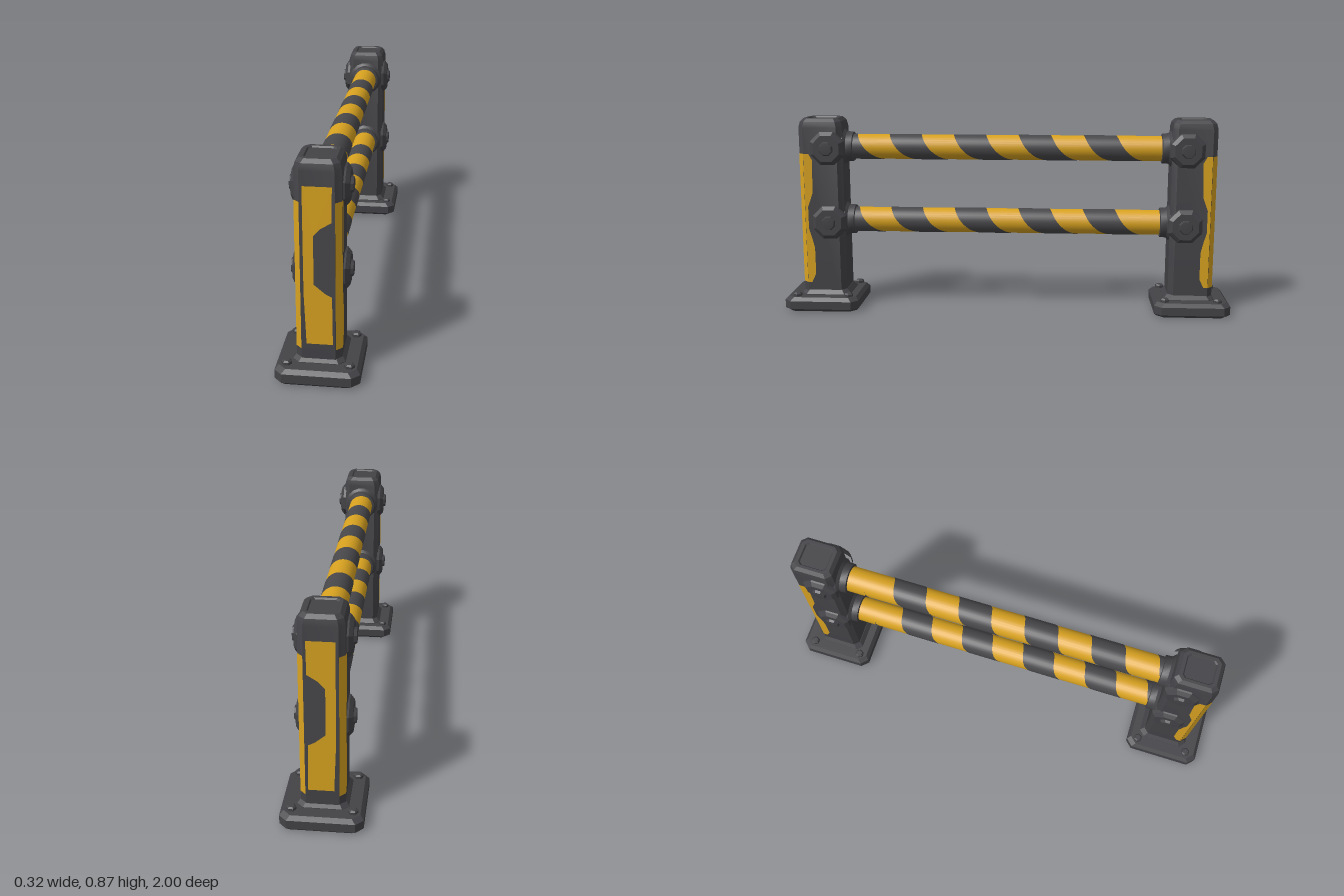
import * as THREE from 'three';
import { toCreasedNormals } from 'three/addons/utils/BufferGeometryUtils.js';

const mat = (name, color) => Object.assign(new THREE.MeshStandardMaterial({ color }), { name });
const steel = mat('dark steel', 0x434347);
const darkPaint = mat('dark paint', 0x48484b);
const yellow = mat('yellow paint', 0xd8a220);

function add(parent, name, geometry, material) {
  const mesh = new THREE.Mesh(geometry, material);
  mesh.name = name;
  parent.add(mesh);
  return mesh;
}

// Stack of chamfered rectangles, each level [y, halfWidth, zBack, zFront, chamfer]
function loft(levels) {
  const pos = [], index = [], n = 8;
  for (const [y, h, b, f, c] of levels) {
    const ring = [[h, f - c], [h - c, f], [c - h, f], [-h, f - c], [-h, b + c], [c - h, b], [h - c, b], [h, b + c]];
    for (const [x, z] of ring) pos.push(x, y, z);
  }
  const last = levels.length - 1;
  for (let j = 0; j < last; j++) {
    for (let i = 0; i < n; i++) {
      const a = j * n + i, b = j * n + (i + 1) % n;
      index.push(a, a + n, b + n, a, b + n, b);
    }
  }
  for (let i = 1; i < n - 1; i++) {
    index.push(0, i, i + 1, last * n, last * n + i + 1, last * n + i);
  }
  const g = new THREE.BufferGeometry();
  g.setAttribute('position', new THREE.Float32BufferAttribute(pos, 3));
  g.setIndex(index);
  return toCreasedNormals(g, 0.5);
}

const plate = (points) => new THREE.ShapeGeometry(new THREE.Shape(points.map(([x, y]) => new THREE.Vector2(x, y))));

// Turned part with a [radius, height] profile along +y
function turned(points, sides) {
  const g = new THREE.LatheGeometry(points.map(([r, y]) => new THREE.Vector2(r, y)), sides, Math.PI / sides);
  return toCreasedNormals(g, 0.5);
}

const RAIL_HEIGHTS = [0.735, 0.4];

function createPost(facing) {
  const post = new THREE.Group();
  post.name = facing > 0 ? 'frontPost' : 'backPost';

  add(post, 'basePlate', loft([
    [0, 0.148, 0.677, 0.988, 0.03], [0.012, 0.161, 0.665, 1, 0.03],
    [0.048, 0.161, 0.665, 1, 0.03], [0.064, 0.147, 0.679, 0.986, 0.03]]), steel);
  add(post, 'postFoot', loft([
    [0.06, 0.1, 0.712, 0.935, 0.025], [0.066, 0.1, 0.712, 0.935, 0.025], [0.085, 0.085, 0.728, 0.92, 0.022]]), steel);
  add(post, 'column', loft([
    [0.06, 0.086, 0.73, 0.925, 0.022], [0.828, 0.086, 0.73, 0.925, 0.022],
    [0.852, 0.08, 0.736, 0.919, 0.022], [0.866, 0.066, 0.75, 0.905, 0.018],
    [0.866, 0.054, 0.765, 0.89, 0.012], [0.86, 0.05, 0.77, 0.885, 0.012]]), steel);

  // Anchor bolts at the corners of the base
  for (const x of [-0.118, 0.118]) {
    for (const z of [0.712, 0.945]) {
      const bolt = add(post, 'anchorBolt', turned([[0.02, 0], [0.02, 0.012], [0.013, 0.018], [0, 0.018]], 6), steel);
      bolt.position.set(x, 0.062, z);
    }
  }

  // Rail sockets with a boss and bolt on each side
  for (const y of RAIL_HEIGHTS) {
    const socket = add(post, 'railSocket',
      turned([[0.08, 0], [0.08, 0.03], [0.068, 0.042], [0.066, 0.07], [0.054, 0.073]], 16), steel);
    socket.rotation.x = -Math.PI / 2;
    socket.position.set(0, y, 0.76);
    for (const side of [-1, 1]) {
      const boss = add(post, 'sideBoss', turned([[0.083, 0], [0.079, 0.012], [0.062, 0.026], [0, 0.026]], 8), steel);
      boss.rotation.z = -side * Math.PI / 2;
      boss.position.set(side * 0.081, y, 0.795);
      const bolt = add(post, 'sideBolt', turned([[0.034, 0], [0.028, 0.014], [0, 0.016]], 8), steel);
      bolt.rotation.z = -side * Math.PI / 2;
      bolt.position.set(side * 0.104, y, 0.795);
    }
  }

  // Painted face panel with a dark notch on one side
  const outline = [[-0.045, 0.142], [0.054, 0.142], [0.052, 0.34], [0.028, 0.352], [-0.015, 0.388],
    [-0.015, 0.58], [0.012, 0.61], [0.052, 0.635], [0.054, 0.77], [-0.053, 0.77], [-0.053, 0.35]];
  add(post, 'facePanel', plate(outline.map(([x, y]) => [x * facing, y])), yellow).position.z = 0.9265;
  const notch = [[0.062, 0.335], [0.052, 0.34], [0.028, 0.352], [-0.015, 0.388], [-0.015, 0.58],
    [0.012, 0.61], [0.052, 0.635], [0.062, 0.64]];
  add(post, 'faceNotch', plate(notch.map(([x, y]) => [x * facing, y])), darkPaint).position.z = 0.9262;

  // Yellow edge paint wrapping each front corner, narrow beside the lower boss
  const edge = [[0.903, 0.12], [0.885, 0.12], [0.866, 0.16], [0.866, 0.28], [0.878, 0.33],
    [0.89, 0.37], [0.89, 0.47], [0.868, 0.53], [0.863, 0.68], [0.88, 0.71], [0.903, 0.71]];
  for (const side of [-1, 1]) {
    const flank = add(post, 'sidePaint', plate(edge.map(([z, y]) => [-side * z, y])), yellow);
    flank.rotation.y = side * Math.PI / 2;
    flank.position.x = side * 0.0873;
    const corner = add(post, 'cornerPaint', new THREE.PlaneGeometry(0.031, 0.59), yellow);
    corner.rotation.y = side * Math.PI / 4;
    corner.position.set(side * 0.076, 0.415, 0.915);
  }

  if (facing < 0) post.rotation.y = Math.PI;
  return post;
}

// Painted band wound around a rail, flatter over the top, cut off square at both ends
function helixBand(radius, centre, back, front) {
  const pitch = 0.29, turns = 7, sway = 0.035;
  const g = new THREE.PlaneGeometry(1, 1, turns * 32, 8);
  const p = g.attributes.position, normal = g.attributes.normal;
  for (let i = 0; i < p.count; i++) {
    const t = (0.5 - p.getX(i)) * turns;
    const a = t * Math.PI * 2;
    const z = centre + (3 - t + p.getY(i) * 0.5) * pitch + sway * Math.sin(a);
    p.setXYZ(i, radius * Math.sin(a), radius * Math.cos(a), THREE.MathUtils.clamp(z, back, front));
    normal.setXYZ(i, Math.sin(a), Math.cos(a), 0);
  }
  // Drop the collapsed faces beyond the ends and keep the rest facing outward
  const kept = [], src = g.index.array;
  const v = [new THREE.Vector3(), new THREE.Vector3(), new THREE.Vector3()];
  const out = new THREE.Vector3(), face = new THREE.Vector3();
  for (let i = 0; i < src.length; i += 3) {
    const ids = [src[i], src[i + 1], src[i + 2]];
    ids.forEach((id, k) => v[k].fromBufferAttribute(p, id));
    if (v.every((q) => q.z === v[0].z)) continue;
    new THREE.Triangle(...v).getNormal(face);
    out.fromBufferAttribute(normal, ids[0]);
    kept.push(...(face.dot(out) > 0 ? ids : [ids[0], ids[2], ids[1]]));
  }
  g.setIndex(kept);
  return g;
}

export function createModel() {
  const model = new THREE.Group();
  model.name = 'safetyBarrier';
  model.add(createPost(1), createPost(-1));

  // Yellow rails with a dark stripe wound around each
  const tube = new THREE.CylinderGeometry(0.0555, 0.0555, 1.42, 32, 1, true).rotateX(Math.PI / 2);
  const stripe = helixBand(0.0568, 0.165, -0.605, 0.71);
  for (const y of RAIL_HEIGHTS) {
    const rail = new THREE.Group();
    rail.name = 'rail';
    rail.position.y = y;
    add(rail, 'railTube', tube, yellow);
    add(rail, 'darkStripe', stripe, darkPaint);
    model.add(rail);
  }
  return model;
}
